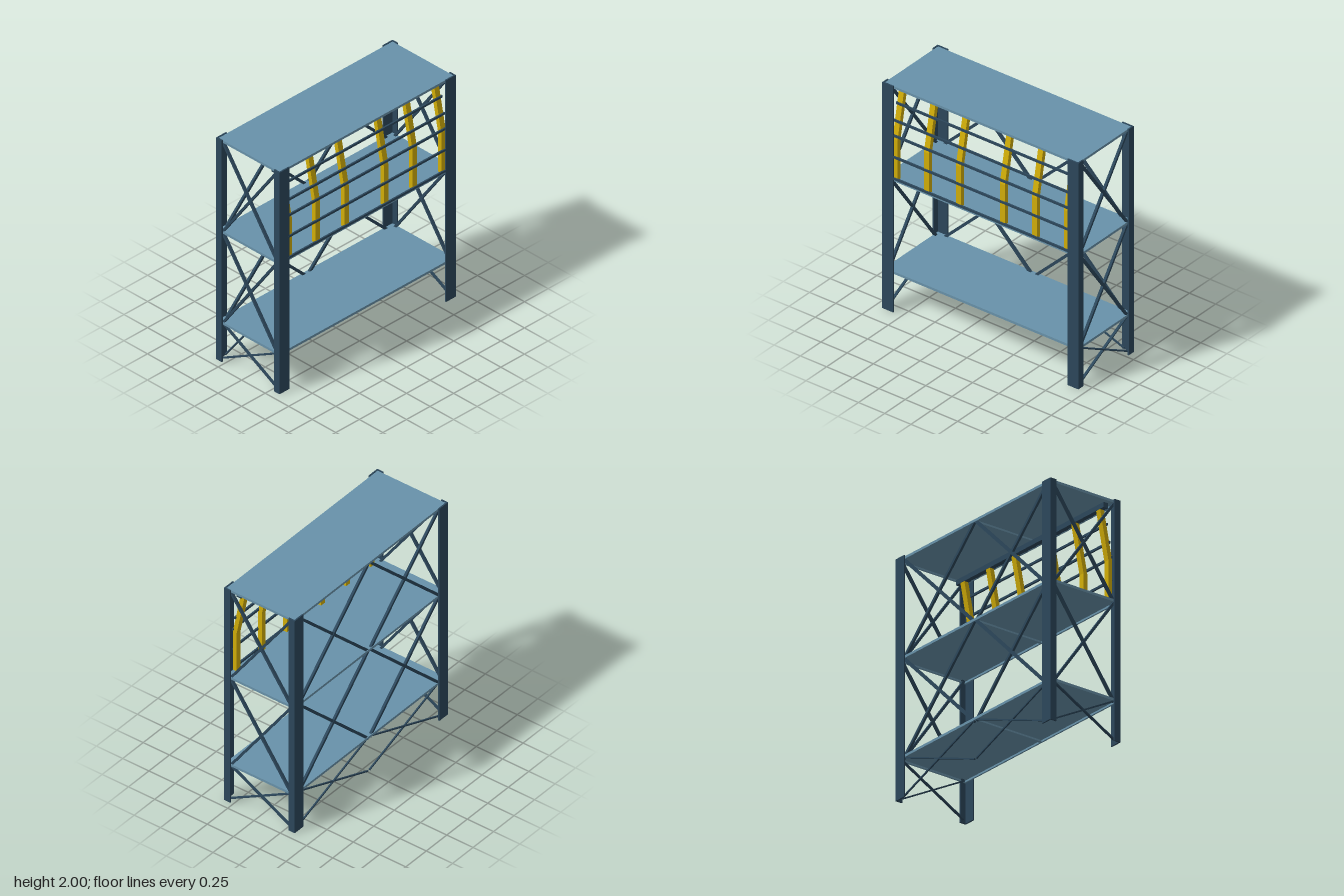
import * as THREE from 'three';

const steel = new THREE.MeshStandardMaterial({ color: 0x2c475b });
steel.name = 'darkBlueSteel';
const deck = new THREE.MeshStandardMaterial({ color: 0x6892aa });
deck.name = 'paleBlueDeck';
const yellow = new THREE.MeshStandardMaterial({ color: 0xd2ae08 });
yellow.name = 'safetyYellow';

function add(parent, name, geometry, material, x = 0, y = 0, z = 0) {
  const mesh = new THREE.Mesh(geometry, material);
  mesh.name = name;
  mesh.position.set(x, y, z);
  parent.add(mesh);
  return mesh;
}

function box(parent, name, material, w, h, d, x, y, z) {
  return add(parent, name, new THREE.BoxGeometry(w, h, d), material, x, y, z);
}

// straight bar between two points in an upright plane
function bar(parent, name, from, to, width, depth) {
  const a = new THREE.Vector3(...from), b = new THREE.Vector3(...to);
  const along = b.clone().sub(a);
  const alongX = Math.abs(along.x) > Math.abs(along.z);
  const size = alongX ? [width, along.length(), depth] : [depth, along.length(), width];
  const mid = a.add(b).multiplyScalar(0.5);
  const mesh = box(parent, name, steel, ...size, mid.x, mid.y, mid.z);
  if (alongX) mesh.rotation.z = -Math.atan2(along.x, along.y);
  else mesh.rotation.x = Math.atan2(along.z, along.y);
}

// corner posts: L-shaped angles
function cornerPosts(parent) {
  for (const sx of [-1, 1]) for (const sz of [-1, 1]) {
    const post = new THREE.Group();
    post.name = 'cornerPost';
    box(post, 'wideFlange', steel, 0.105, 2, 0.012, sx * 0.8825, 1, sz * 0.331);
    box(post, 'sideFlange', steel, 0.012, 2, 0.048, sx * 0.929, 1, sz * 0.301);
    parent.add(post);
  }
}

// shelf: thin plate with a turned-down rim and a centre rib
function shelf(parent, top) {
  const g = new THREE.Group();
  g.name = 'shelf';
  const y = top - 0.013;
  box(g, 'shelfPlate', deck, 1.845, 0.006, 0.65, 0, top - 0.003, 0);
  for (const s of [-1, 1]) {
    box(g, 'longRim', deck, 1.845, 0.016, 0.012, 0, y, s * 0.319);
    box(g, 'shortRim', deck, 0.012, 0.016, 0.626, s * 0.9165, y, 0);
  }
  box(g, 'centreRib', deck, 0.02, 0.016, 0.626, 0, y, 0);
  parent.add(g);
}

// crossed braces: one X on each end and two side by side on the back
function braces(parent, low, high, width, sideDepth, backDepth) {
  const g = new THREE.Group();
  g.name = 'braces';
  for (const s of [-1, 1]) {
    const x = s * 0.91;
    bar(g, 'endBrace', [x, low, -0.295], [x, high, 0.295], width * 0.85, sideDepth);
    bar(g, 'endBrace', [x - s * 0.003, high, -0.295], [x - s * 0.003, low, 0.295], width * 0.85, sideDepth);
    bar(g, 'backBrace', [s * 0.86, low, -0.313], [s * 0.01, high, -0.313], width, backDepth);
    bar(g, 'backBrace', [s * 0.86, high, -0.31], [s * 0.01, low, -0.31], width, backDepth);
  }
  parent.add(g);
}

// bent guard stanchion: upright below, leaning inward above
function stanchionGeometry() {
  const shape = new THREE.Shape([
    [0.328, 1.177], [0.328, 1.53], [0.249, 1.93], [0.211, 1.93], [0.291, 1.53], [0.291, 1.177],
  ].map(([z, y]) => new THREE.Vector2(-z, y)));
  const geometry = new THREE.ExtrudeGeometry(shape, { depth: 0.048, bevelEnabled: false });
  geometry.translate(0, 0, -0.024);
  geometry.rotateY(Math.PI / 2);
  return geometry;
}

function guard(parent) {
  const g = new THREE.Group();
  g.name = 'frontGuard';
  const geometry = stanchionGeometry();
  for (const x of [-0.82, -0.52, -0.215, 0.203, 0.508, 0.815]) add(g, 'stanchion', geometry, yellow, x);

  // horizontal rails follow the bend of the stanchions
  for (const y of [1.185, 1.375, 1.56, 1.68, 1.82]) {
    const z = 0.331 - Math.max(0, y - 1.53) * 0.198;
    box(g, 'guardRail', steel, 1.7, 0.018, 0.014, 0, y, z);
  }
  box(g, 'topBeam', steel, 1.78, 0.042, 0.042, 0, 1.95, 0.23);
  parent.add(g);
}

export function createModel() {
  const model = new THREE.Group();
  model.name = 'shelvingRack';
  cornerPosts(model);
  for (const top of [0.355, 1.175, 1.995]) shelf(model, top);
  braces(model, 0.02, 0.34, 0.011, 0.022, 0.012);
  braces(model, 0.33, 1.16, 0.023, 0.022, 0.02);
  braces(model, 1.155, 1.98, 0.023, 0.022, 0.02);
  guard(model);
  return model;
}
